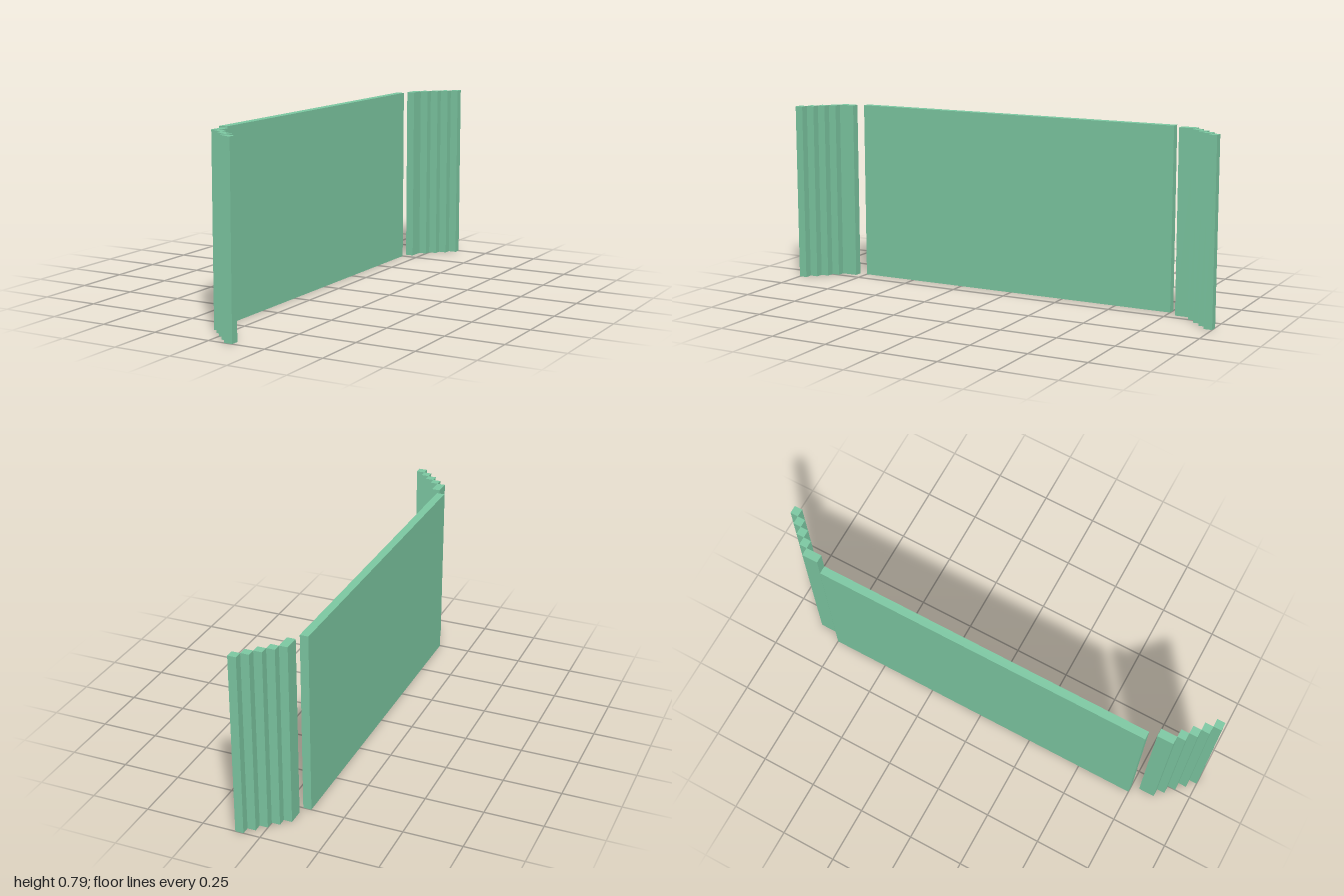
import * as THREE from 'three';

const U = 1 / 28; // grid unit
const HEIGHT = 22 * U;

export function createModel() {
  const model = new THREE.Group();
  model.name = 'steppedScreen';
  const green = new THREE.MeshStandardMaterial({ color: 0x7ecaa4 });
  green.name = 'softGreen';

  // Upright slab one unit thick, spanning z0..z1 (in units) at column x0
  const addSlab = (parent, name, x0, z0, z1) => {
    const slab = new THREE.Mesh(new THREE.BoxGeometry(U, HEIGHT, (z1 - z0) * U), green);
    slab.name = name;
    slab.position.set((x0 + 0.5) * U, HEIGHT / 2, ((z0 + z1) / 2) * U);
    parent.add(slab);
  };

  // Long central panel
  addSlab(model, 'mainPanel', -3, -21, 21);

  // Stepped wings curving forward at both ends, each past a one-unit gap
  for (const side of [1, -1]) {
    const wing = new THREE.Group();
    wing.name = side > 0 ? 'frontWing' : 'backWing';
    for (let i = 0; i < 5; i++) {
      const inner = i === 0 ? 22 : 23 + i;
      const outer = 24 + i;
      addSlab(wing, `wingPost${i + 1}`, -2 + i, Math.min(side * inner, side * outer), Math.max(side * inner, side * outer));
    }
    model.add(wing);
  }
  return model;
}
